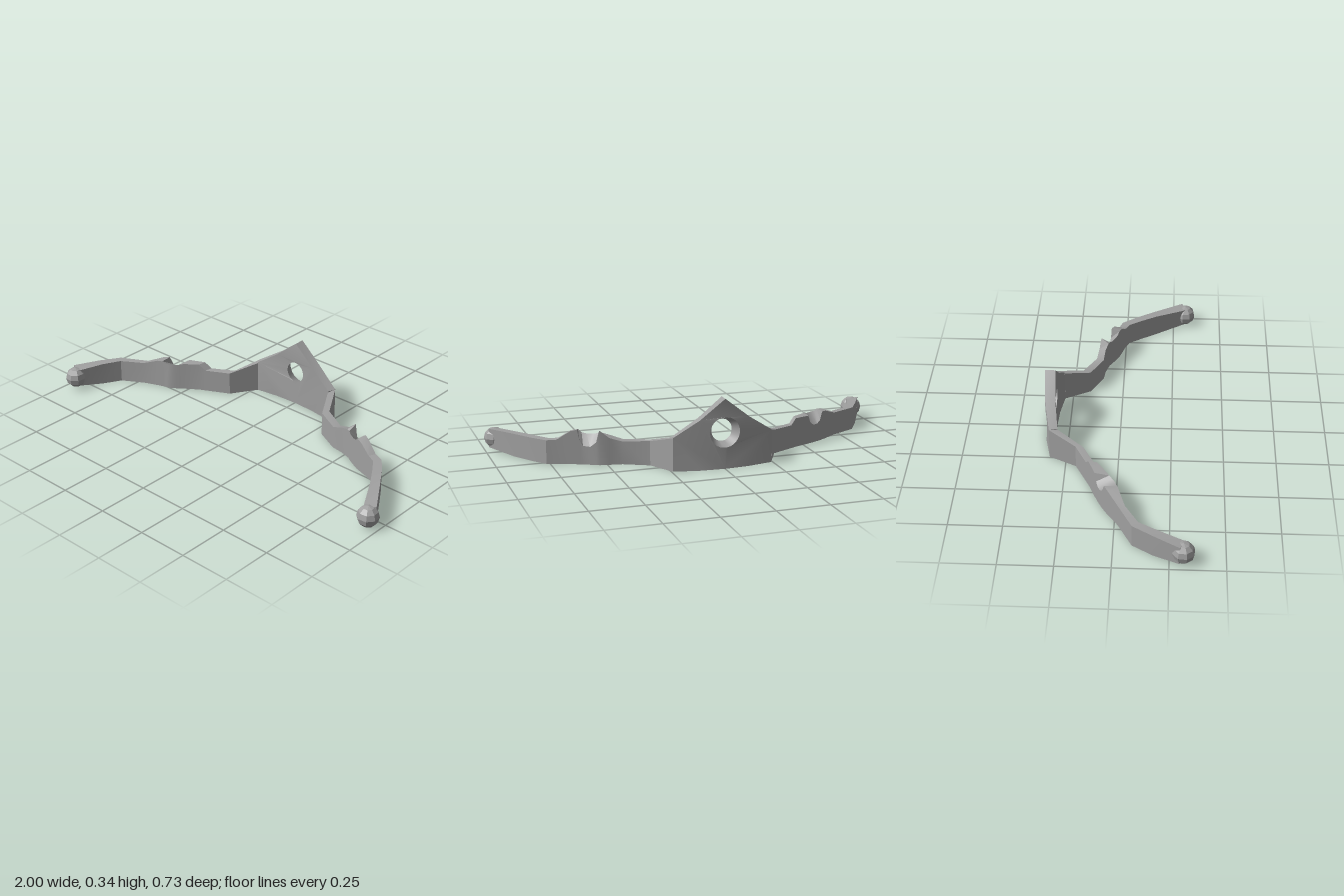
import * as THREE from 'three';
import { toCreasedNormals } from 'three/addons/utils/BufferGeometryUtils.js';

// Arm stations from centre to tip: outer x, outer z, inner x, inner z, outer top, inner top
const LEFT_ARM = [
  [0.243, -0.33, 0.23, -0.29, 0.16, 0.155],
  [0.313, -0.2, 0.297, -0.165, 0.118, 0.116],
  [0.43, -0.14, 0.415, -0.105, 0.111, 0.112],
  [0.49, -0.13, 0.475, -0.097, 0.13, 0.135],
  [0.535, -0.122, 0.515, -0.085, 0.168, 0.148],
  [0.55, -0.115, 0.53, -0.08, 0.11, 0.146],
  [0.575, -0.1, 0.55, -0.067, 0.087, 0.14],
  [0.605, -0.083, 0.58, -0.05, 0.09, 0.14],
  [0.62, -0.077, 0.6, -0.04, 0.115, 0.145],
  [0.63, -0.073, 0.615, -0.032, 0.168, 0.16],
  [0.66, -0.06, 0.645, -0.022, 0.16, 0.155],
  [0.72, -0.036, 0.705, -0.003, 0.118, 0.118],
  [0.767, -0.02, 0.745, 0.015, 0.115, 0.115],
  [0.825, 0.055, 0.787, 0.075, 0.114, 0.114],
  [0.885, 0.147, 0.838, 0.155, 0.113, 0.112],
  [0.98, 0.295, 0.925, 0.315, 0.108, 0.102],
];
const RIGHT_ARM = [
  [0.243, -0.33, 0.23, -0.29, 0.16, 0.155],
  [0.31, -0.2, 0.31, -0.163, 0.118, 0.116],
  [0.42, -0.145, 0.425, -0.105, 0.115, 0.115],
  [0.45, -0.13, 0.455, -0.09, 0.145, 0.145],
  [0.53, -0.098, 0.52, -0.045, 0.143, 0.143],
  [0.545, -0.09, 0.54, -0.03, 0.105, 0.138],
  [0.565, -0.082, 0.56, -0.015, 0.09, 0.135],
  [0.59, -0.07, 0.585, 0, 0.09, 0.135],
  [0.61, -0.06, 0.605, 0.004, 0.105, 0.138],
  [0.625, -0.05, 0.62, 0.01, 0.145, 0.145],
  [0.65, -0.035, 0.645, 0.018, 0.143, 0.143],
  [0.72, 0.015, 0.72, 0.048, 0.115, 0.115],
  [0.853, 0.083, 0.825, 0.11, 0.114, 0.114],
  [0.915, 0.18, 0.872, 0.195, 0.113, 0.112],
  [0.98, 0.295, 0.925, 0.315, 0.108, 0.102],
];

// Four-cornered loft through the stations, mirrored when side is -1
function armGeometry(stations, side) {
  const pos = [], index = [];
  const tri = (a, b, c) => (side > 0 ? index.push(a, b, c) : index.push(a, c, b));
  stations.forEach(([ox, oz, ix, iz, ot, it], i) => {
    const base = i === stations.length - 1 ? 0.015 : 0;
    pos.push(side * ox, base, oz, side * ox, ot, oz, side * ix, it, iz, side * ix, base, iz);
    if (i === 0) return;
    for (let k = 0; k < 4; k++) {
      const p1 = i * 4 + k, q1 = i * 4 + ((k + 1) % 4);
      tri(p1 - 4, q1 - 4, q1);
      tri(p1 - 4, q1, p1);
    }
  });
  const e = (stations.length - 1) * 4;
  tri(0, 3, 2); tri(0, 2, 1);
  tri(e, e + 1, e + 2); tri(e, e + 2, e + 3);
  const geo = new THREE.BufferGeometry();
  geo.setAttribute('position', new THREE.Float32BufferAttribute(pos, 3));
  geo.setIndex(index);
  return toCreasedNormals(geo, 0.5);
}

// Peaked plate with a hole that widens to the back, bowed along x
function plateGeometry() {
  const shape = new THREE.Shape([
    [-0.243, 0], [-0.12, 0], [0, 0], [0.12, 0], [0.243, 0],
    [0.243, 0.16], [0.12, 0.24], [0, 0.335], [-0.12, 0.24], [-0.243, 0.16],
  ].map(([x, y]) => new THREE.Vector2(x, y)));
  const holeY = 0.175;
  shape.holes.push(new THREE.Path().absarc(0, holeY, 0.053, 0, Math.PI * 2, true));
  const geo = new THREE.ExtrudeGeometry(shape, { depth: 1, steps: 1, bevelEnabled: false, curveSegments: 16 });
  const p = geo.attributes.position;
  for (let i = 0; i < p.count; i++) {
    let x = p.getX(i), y = p.getY(i);
    const front = p.getZ(i) > 0.5;
    if (!front && Math.hypot(x, y - holeY) < 0.06) {
      x *= 1.38;
      y = holeY + (y - holeY) * 1.38;
    }
    if (front) x *= 0.95;
    p.setXYZ(i, x, y, front ? -0.313 + 0.43 * x * x : -0.364 + 0.58 * x * x);
  }
  return toCreasedNormals(geo, 0.5);
}

export function createModel() {
  const model = new THREE.Group();
  const grey = new THREE.MeshStandardMaterial({ color: 0xa0a0a0 });
  grey.name = 'plain grey';
  const add = (name, geo) => {
    const mesh = new THREE.Mesh(geo, grey);
    mesh.name = name;
    model.add(mesh);
    return mesh;
  };

  add('centrePlate', plateGeometry());
  add('leftArm', armGeometry(LEFT_ARM, 1));
  add('rightArm', armGeometry(RIGHT_ARM, -1));

  // Faceted knobs at the arm tips
  for (const side of [1, -1]) {
    const geo = new THREE.SphereGeometry(0.052, 8, 6).toNonIndexed();
    geo.computeVertexNormals();
    const knob = add(side > 0 ? 'leftKnob' : 'rightKnob', geo);
    knob.position.set(side * 0.949, 0.058, 0.312);
    knob.rotation.y = side * 0.5;
  }
  return model;
}
